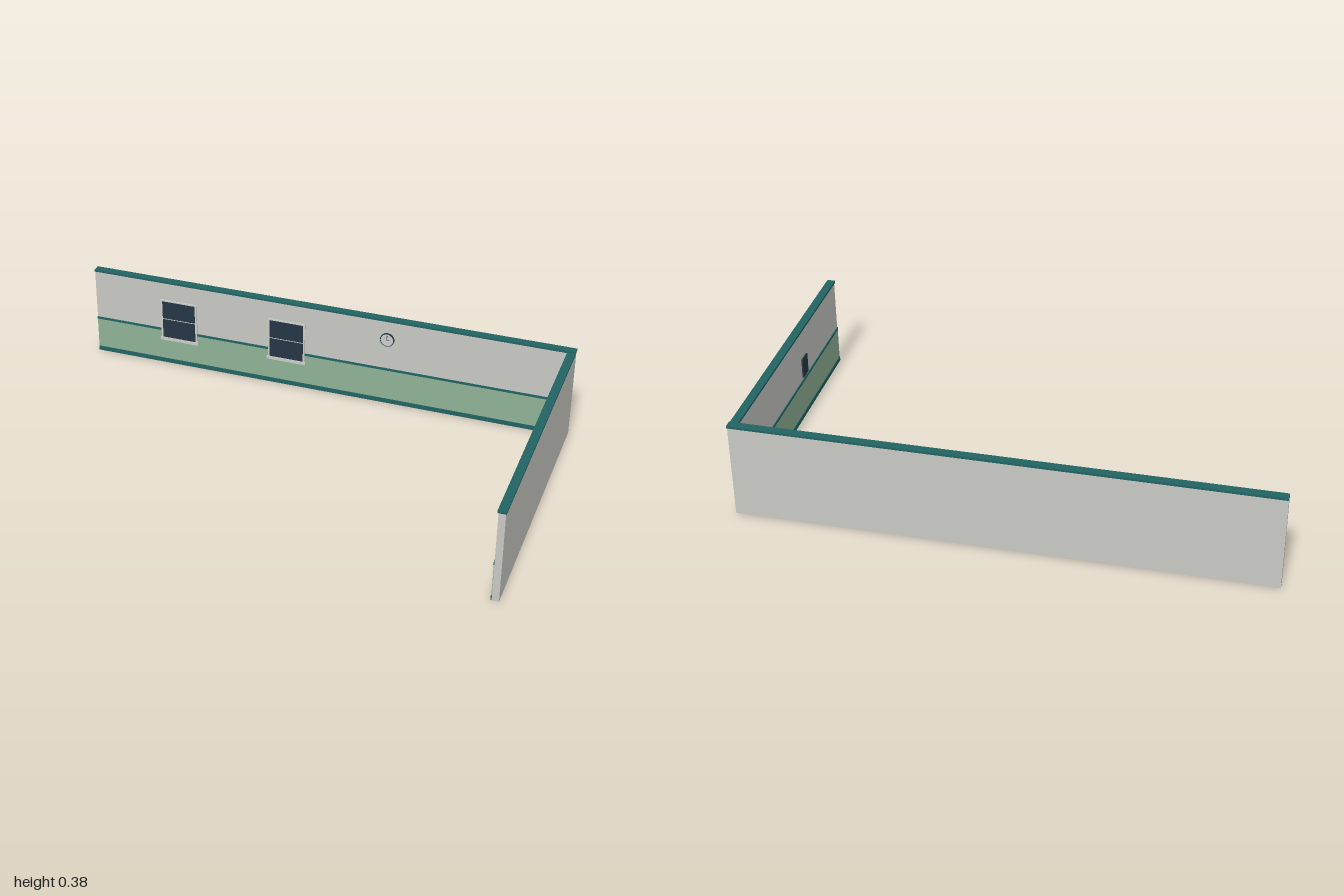
import * as THREE from 'three';

const paint = (name, color) => {
  const m = new THREE.MeshStandardMaterial({ color });
  m.name = name;
  return m;
};

export function createModel() {
  const wall = paint('plaster grey', 0xc8c8c4);
  const green = paint('wainscot green', 0x8fb196);
  const teal = paint('trim teal', 0x226464);
  const navy = paint('glass navy', 0x253645);
  const trim = paint('frame grey', 0xcccccb);

  const model = new THREE.Group();
  model.name = 'cornerWalls';

  // Box given by its minimum and maximum on each axis
  const box = (parent, name, mat, [x0, x1], [y0, y1], [z0, z1]) => {
    const mesh = new THREE.Mesh(new THREE.BoxGeometry(x1 - x0, y1 - y0, z1 - z0), mat);
    mesh.position.set((x0 + x1) / 2, (y0 + y1) / 2, (z0 + z1) / 2);
    mesh.name = name;
    parent.add(mesh);
  };

  // Walls and their caps
  box(model, 'backWall', wall, [-1, 0.998], [0, 0.372], [-0.564, -0.54]);
  box(model, 'backWallCap', teal, [-1, 1], [0.371, 0.38], [-0.567, -0.535]);
  box(model, 'sideWall', wall, [0.972, 0.998], [0, 0.367], [-0.54, 0.565]);
  box(model, 'sideWallCap', teal, [0.968, 1], [0.366, 0.375], [-0.536, 0.567]);

  // Painted lower walls with rail and skirting, on the inner faces
  const bands = [
    ['Wainscot', green, 0.018, 0.151, 0.002],
    ['Rail', teal, 0.15, 0.159, 0.004],
    ['Skirting', teal, 0, 0.019, 0.004],
  ];
  for (const [name, mat, y0, y1, d] of bands) {
    box(model, 'back' + name, mat, [-1, 0.972], [y0, y1], [-0.541, -0.54 + d]);
    box(model, 'side' + name, mat, [0.972 - d, 0.973], [y0, y1], [-0.54, 0.565]);
  }

  // Windows: frame, two panes and a sill
  for (const x of [-0.631, -0.164]) {
    const win = new THREE.Group();
    win.name = 'window';
    win.position.x = x;
    box(win, 'windowFrame', trim, [-0.079, 0.079], [0.115, 0.293], [-0.541, -0.535]);
    box(win, 'lowerPane', navy, [-0.071, 0.071], [0.122, 0.205], [-0.536, -0.534]);
    box(win, 'upperPane', navy, [-0.071, 0.071], [0.209, 0.287], [-0.536, -0.534]);
    box(win, 'windowSill', trim, [-0.083, 0.083], [0.108, 0.121], [-0.541, -0.532]);
    model.add(win);
  }

  // Small board on the side wall
  box(model, 'wallBoard', navy, [0.966, 0.973], [0.17, 0.25], [0.135, 0.19]);

  // Wall clock
  const clock = new THREE.Group();
  clock.name = 'clock';
  clock.position.set(0.257, 0.29, -0.54);
  const disc = (name, mat, r, d) => {
    const mesh = new THREE.Mesh(new THREE.CylinderGeometry(r, r, d, 24), mat);
    mesh.rotation.x = Math.PI / 2;
    mesh.position.z = d / 2;
    mesh.name = name;
    clock.add(mesh);
  };
  disc('clockRim', navy, 0.029, 0.006);
  disc('clockFace', trim, 0.0255, 0.0068);
  box(clock, 'minuteHand', navy, [-0.001, 0.001], [0, 0.02], [0.006, 0.0075]);
  box(clock, 'hourHand', navy, [-0.001, 0.01], [-0.001, 0.001], [0.006, 0.0075]);
  model.add(clock);

  return model;
}
